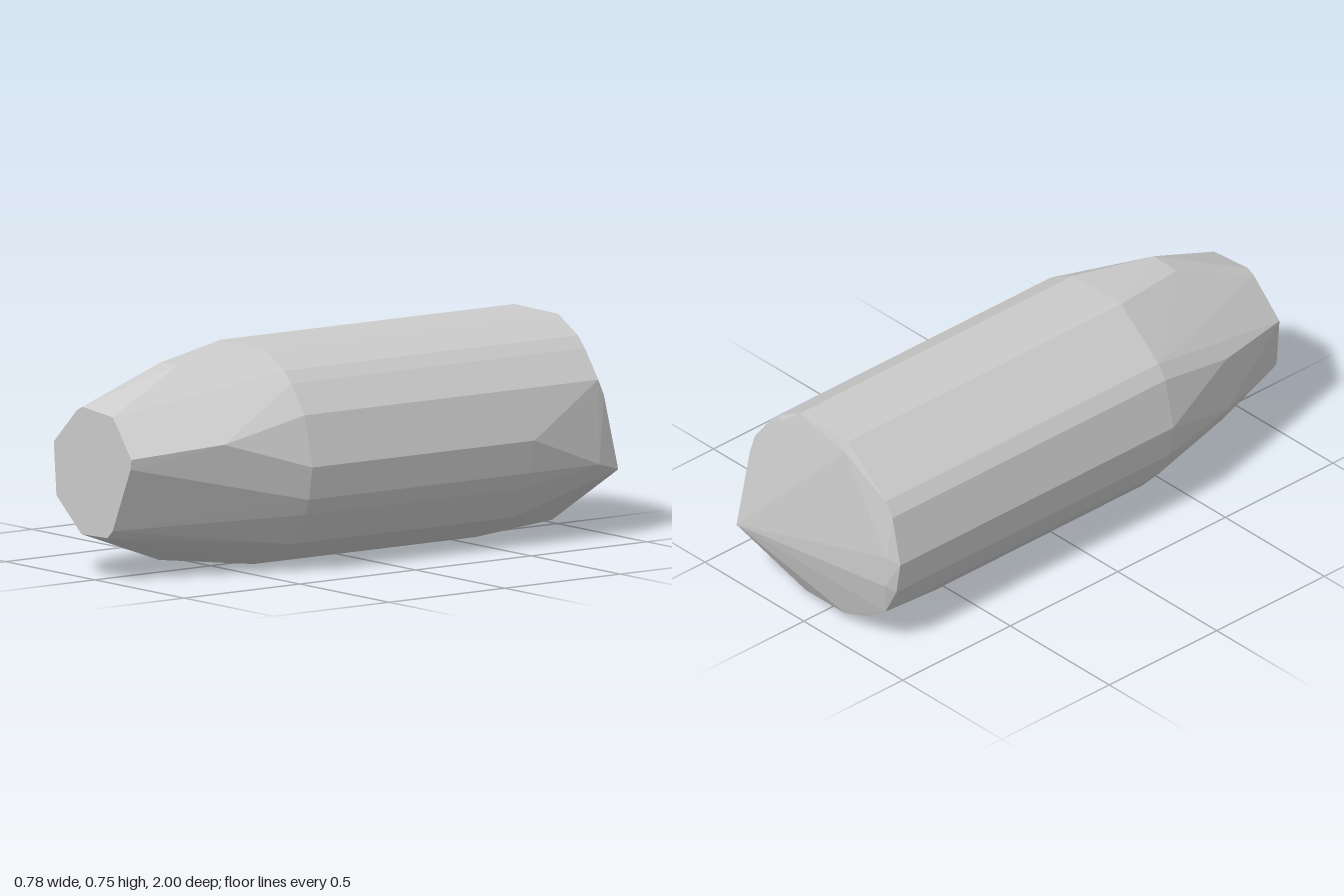
import * as THREE from 'three';
import { ConvexGeometry } from 'three/addons/geometries/ConvexGeometry.js';

// Cross-sections as [x, y] corners
const nose = [
  [-0.23, 0.455], [-0.1, 0.58], [-0.07, 0.595], [0.1, 0.58], [0.205, 0.445],
  [0.2, 0.41], [0.1, 0.185], [0.07, 0.157], [-0.075, 0.153], [-0.215, 0.27],
];
const shoulder = [
  [-0.055, 0.717], [0.055, 0.725], [0.31, 0.48], [-0.31, 0.48],
  [-0.315, 0.275], [-0.295, 0.23], [-0.055, 0.035],
];
// Upper and left side of the barrel runs the full length
const barrelFull = [
  [0.345, 0.555], [0.27, 0.655], [0.23, 0.695], [0.12, 0.755], [-0.125, 0.758],
  [-0.315, 0.605], [-0.35, 0.555], [-0.39, 0.38], [-0.37, 0.26], [-0.315, 0.155],
];
// Lower and right side tapers in before the back end
const barrelShort = [
  [0.39, 0.38], [0.37, 0.265], [0.345, 0.21], [0.275, 0.1], [0.115, 0.02],
  [0.06, 0.004], [-0.06, 0.004], [-0.125, 0.01], [-0.23, 0.065],
];

export function createModel() {
  const points = [];
  const section = (corners, z) => corners.forEach(([x, y]) => points.push(new THREE.Vector3(x, y, z)));

  // Tapered front
  section(nose, 1);
  section(shoulder, 0.68);

  // Faceted barrel
  section(barrelFull, 0.36);
  section(barrelShort, 0.36);
  section(barrelFull, -0.91);
  section(barrelShort, -0.6);

  // Slanted back end with its off-centre corner
  section([[0.365, 0.265], [0.1, 0.04], [-0.1, 0.04], [-0.23, 0.09]], -0.9);
  section([[0.2, 0.69], [-0.125, 0.72]], -0.922);
  section([[0.345, 0.5], [-0.345, 0.4], [-0.34, 0.28]], -0.934);
  section([[0.34, 0.235]], -1);

  const body = new THREE.Mesh(
    new ConvexGeometry(points),
    new THREE.MeshStandardMaterial({ color: 0xcccccc, flatShading: true }),
  );
  body.name = 'facetedBody';

  const model = new THREE.Group();
  model.name = 'facetedCapsule';
  model.add(body);
  return model;
}
